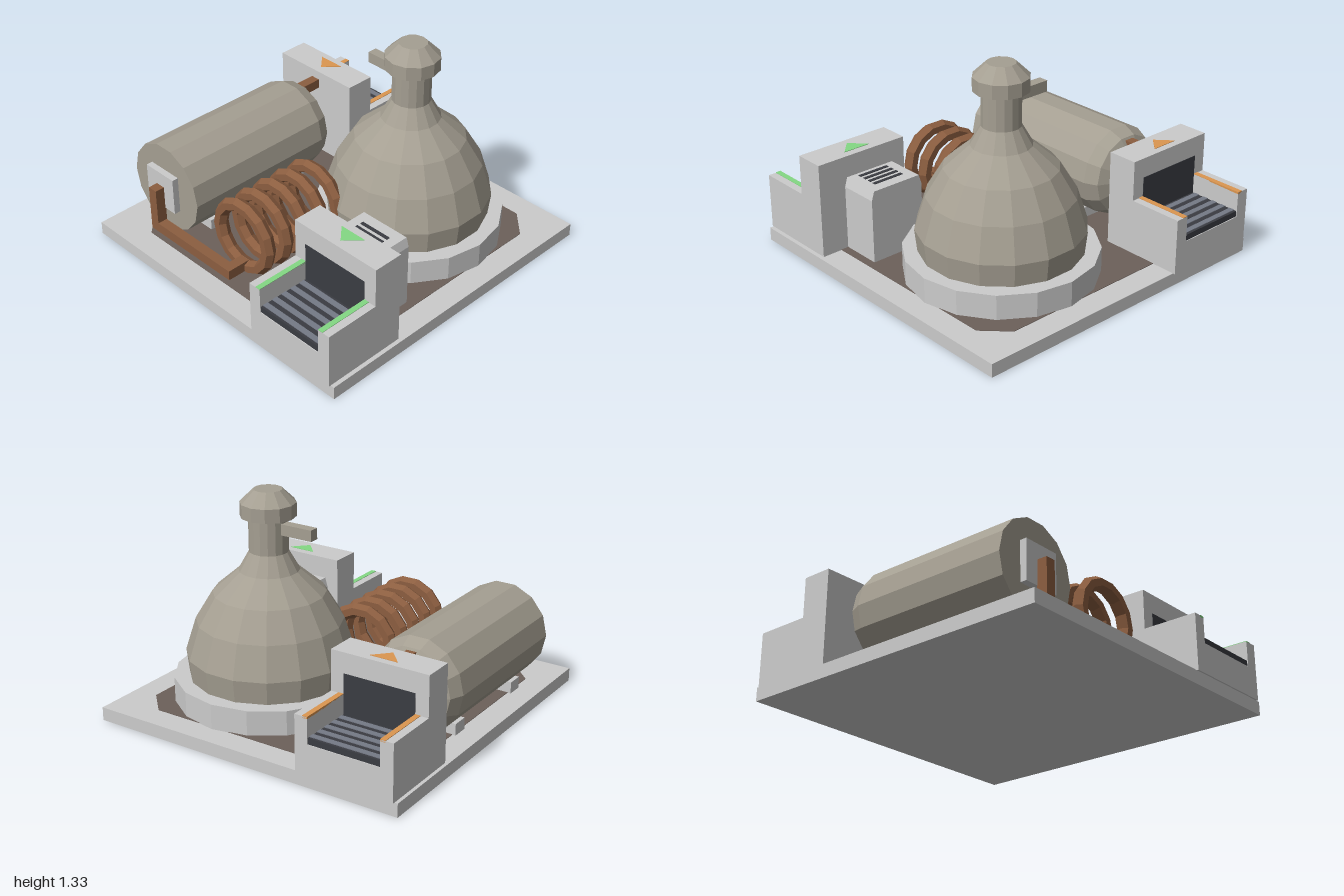
import * as THREE from 'three';

const mat = (color) => new THREE.MeshStandardMaterial({ color, flatShading: true });
const GREY = mat(0xcccccc), STEEL = mat(0xa59f92), COPPER = mat(0x8c5e40), FLOOR = mat(0x6c605a);
const DARK = mat(0x3a3c42), SLAT = mat(0x757a86), GREEN = mat(0x84d884), ORANGE = mat(0xdc9650);

function add(parent, name, geometry, material, x = 0, y = 0, z = 0) {
  const mesh = new THREE.Mesh(geometry, material);
  mesh.name = name;
  mesh.position.set(x, y, z);
  parent.add(mesh);
  return mesh;
}

// Box given by its limits on each axis
function box(parent, name, material, [x0, x1], [y0, y1], [z0, z1]) {
  return add(parent, name, new THREE.BoxGeometry(x1 - x0, y1 - y0, z1 - z0), material,
    (x0 + x1) / 2, (y0 + y1) / 2, (z0 + z1) / 2);
}

function group(parent, name) {
  const g = new THREE.Group();
  g.name = name;
  parent.add(g);
  return g;
}

const polygon = (points) => new THREE.Shape(points.map(([x, y]) => new THREE.Vector2(x, y)));
const lathe = (points, sides, start) =>
  new THREE.LatheGeometry(points.map(([r, y]) => new THREE.Vector2(r, y)), sides, start);

// Conveyor port; its open end faces local +z, its tall back starts at z = 0
function makePort(parent, name, accent, arrowDirection) {
  const port = group(parent, name);
  box(port, 'portHousing', GREY, [-0.3, 0.3], [0.08, 0.655], [0, 0.185]);
  box(port, 'portBed', GREY, [-0.22, 0.22], [0.08, 0.26], [0.185, 0.52]);
  box(port, 'portOpening', DARK, [-0.22, 0.22], [0.29, 0.535], [0.18, 0.188]);
  box(port, 'conveyorBelt', DARK, [-0.22, 0.22], [0.26, 0.296], [0.185, 0.515]);
  for (let i = 0; i < 5; i++) {
    const z = 0.22 + i * 0.066;
    box(port, 'conveyorSlat', SLAT, [-0.22, 0.22], [0.28, 0.3], [z - 0.017, z + 0.017]);
  }
  for (const s of [-1, 1]) {
    const span = (a, b) => (s > 0 ? [a, b] : [-b, -a]);
    box(port, 'portArm', GREY, span(0.22, 0.3), [0.08, 0.415], [0.185, 0.52]);
    box(port, 'portStripe', accent, span(0.22, 0.252), [0.405, 0.418], [0.185, 0.52]);
  }
  // Flow arrow on top of the housing
  const tip = 0.046 * arrowDirection;
  const shape = polygon([[-0.085, tip], [0, -tip], [0.085, tip]]);
  const arrow = new THREE.ExtrudeGeometry(shape, { depth: 0.004, bevelEnabled: false });
  add(port, 'flowArrow', arrow.rotateX(-Math.PI / 2), accent, 0, 0.654, 0.095);
  return port;
}

export function createModel() {
  const model = new THREE.Group();
  model.name = 'distillery';

  // Base with a dark chamfered floor
  box(model, 'basePlate', GREY, [-0.99, 0.99], [0, 0.08], [-0.99, 0.99]);
  const a = 0.84, c = 0.7;
  const floor = new THREE.ExtrudeGeometry(
    polygon([[a, -c], [a, c], [c, a], [-c, a], [-a, c], [-a, -c], [-c, -a], [c, -a]]),
    { depth: 0.004, bevelEnabled: false });
  add(model, 'floorPanel', floor.rotateX(-Math.PI / 2), FLOOR, 0, 0.079, 0);

  // Pot still on its round plinth
  const still = group(model, 'still');
  still.position.set(0.3, 0, -0.3);
  add(still, 'plinth', new THREE.CylinderGeometry(0.56, 0.56, 0.15, 16), GREY, 0, 0.155, 0);
  add(still, 'pot', lathe([
    [0.472, 0.23], [0.487, 0.365], [0.425, 0.56], [0.325, 0.725],
    [0.175, 0.855], [0.113, 0.965], [0.113, 1.18],
  ], 16, Math.PI / 16), STEEL);
  add(still, 'stillCap', lathe([
    [0, 1.17], [0.16, 1.17], [0.16, 1.25], [0.083, 1.325], [0, 1.325],
  ], 12, 0), STEEL);
  box(still, 'spout', STEEL, [-0.31, -0.09], [1.08, 1.145], [-0.03, 0.03]);

  // Lying tank with a domed rear end and flat front
  const tank = group(model, 'tank');
  const shell = lathe([
    [0, -0.395], [0.14, -0.39], [0.245, -0.34], [0.28, -0.26], [0.28, 0.73], [0, 0.73],
  ], 14, Math.PI / 2);
  add(tank, 'tankShell', shell.rotateX(Math.PI / 2), STEEL, -0.665, 0.375, 0);
  box(tank, 'tankFlange', GREY, [-0.785, -0.55], [0.26, 0.495], [0.72, 0.77]);
  for (const z of [-0.13, 0.52]) {
    box(tank, 'tankFoot', GREY, [-0.86, -0.47], [0.08, 0.15], [z - 0.05, z + 0.05]);
  }

  // Square copper pipes joining port, tank and coil
  const pipes = group(model, 'pipes');
  box(pipes, 'inletPipe', COPPER, [-0.7, -0.64], [0.54, 0.6], [-0.49, -0.28]);
  box(pipes, 'outletRiser', COPPER, [-0.7, -0.637], [0.115, 0.405], [0.765, 0.83]);
  box(pipes, 'outletRun', COPPER, [-0.64, -0.01], [0.115, 0.177], [0.768, 0.83]);
  box(pipes, 'coilFeed', COPPER, [-0.073, -0.01], [0.115, 0.177], [0.68, 0.77]);

  // Cooling coil of separate hexagonal rings
  const coil = group(model, 'coolingCoil');
  const ring = new THREE.TorusGeometry(0.2, 0.042, 6, 14);
  for (let i = 0; i < 5; i++) add(coil, 'coilRing', ring, COPPER, -0.04, 0.33, 0.142 + i * 0.134);

  // Ports: rear inlet and front outlet
  const inlet = makePort(model, 'inletPort', ORANGE, -1);
  inlet.position.set(-0.67, 0, -0.483);
  inlet.rotation.y = Math.PI;
  const outlet = makePort(model, 'outletPort', GREEN, 1);
  outlet.position.set(0.665, 0, 0.48);

  // Vented box behind the outlet port
  const vent = group(model, 'ventBox');
  vent.position.set(0.615, 0, 0.23);
  const ventShape = polygon([
    [-0.177, 0.08], [0.177, 0.08], [0.177, 0.47], [0.16, 0.525], [-0.16, 0.525], [-0.177, 0.47],
  ]);
  add(vent, 'ventBody', new THREE.ExtrudeGeometry(ventShape, { depth: 0.255, bevelEnabled: false }), GREY);
  for (let i = 0; i < 4; i++) {
    const z = 0.08 + i * 0.044;
    box(vent, 'ventSlot', DARK, [-0.1, 0.1], [0.515, 0.528], [z - 0.011, z + 0.011]);
  }
  return model;
}
